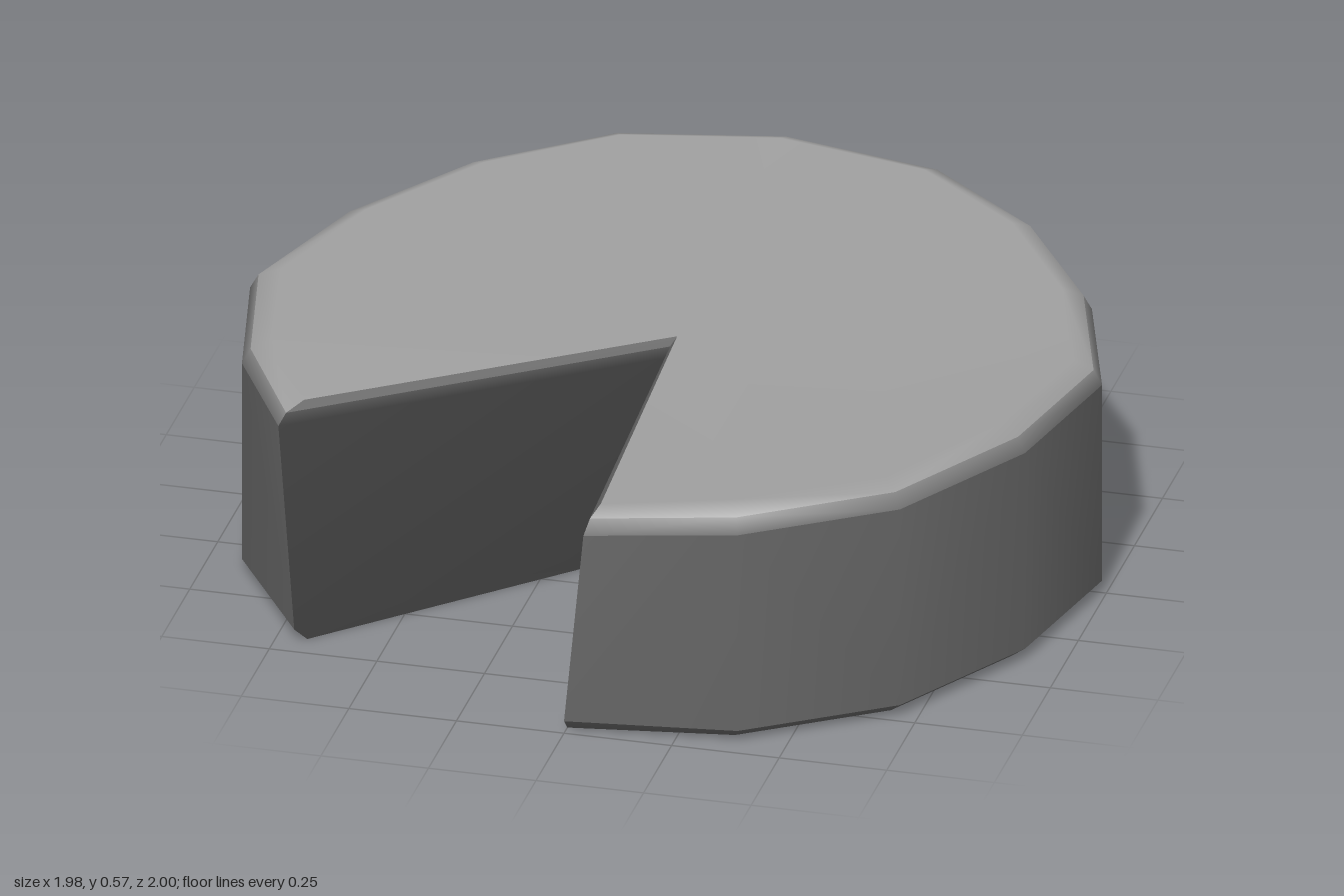
import * as THREE from 'three';

const TOP = 0x9f9f9f, RIND = 0x656565, RIM_EDGE = 0x828282, CUT = 0x424242, CUT_EDGE = 0x666666;

// Rim corners [x, z], from the right of the cut round the back to its left
const RIM = [
  [0.39, 0.95], [0.71, 0.73], [0.91, 0.38], [0.99, 0], [0.87, -0.37],
  [0.66, -0.69], [0.38, -0.92], [0, -1], [-0.38, -0.92], [-0.66, -0.69],
  [-0.87, -0.37], [-0.99, 0], [-0.91, 0.38],
];

// Levels from bottom to top: rim scale and height, then the cut's two outer
// ends and its inner apex as [x, y, z]
const LEVELS = [
  { s: 0.96, y: 0, right: [0, 0, 0.97], left: [-0.68, 0, 0.68], apex: [-0.005, 0, 0.01] },
  { s: 1, y: 0.03, right: [0, 0.03, 1], left: [-0.705, 0.03, 0.7], apex: [-0.005, 0.03, 0.01] },
  { s: 1, y: 0.52, right: [0.045, 0.5, 1], left: [-0.755, 0.51, 0.65], apex: [-0.015, 0.48, 0.035] },
  { s: 0.98, y: 0.555, right: [0.055, 0.535, 0.98], left: [-0.745, 0.53, 0.62], apex: [-0.01, 0.5, 0.015] },
  { s: 0.93, y: 0.575, right: [0.07, 0.555, 0.94], left: [-0.715, 0.545, 0.575], apex: [0, 0.515, -0.01] },
];

// Closed cross-sections, anticlockwise from above, each ending at the apex
const RINGS = LEVELS.map(({ s, y, right, left, apex }) =>
  [right, ...RIM.map(([x, z]) => [x * s, y, z * s]), left, apex]);
const N = RINGS[0].length;
const LEFT = N - 2, APEX = N - 1;
const at = (level, i) => level * N + (i % N);

// Wall between two levels, from corner i0 to corner i1, with mirrored diagonals
function wall(level0, level1, i0, i1) {
  const index = [];
  for (let k = level0; k < level1; k++) {
    for (let i = i0; i < i1; i++) {
      const a = at(k, i), b = at(k, i + 1), c = at(k + 1, i + 1), d = at(k + 1, i);
      index.push(...(i % 2 ? [a, b, d, b, c, d] : [a, b, c, a, c, d]));
    }
  }
  return index;
}

// Flat face fanning out from the apex
function fan(level, up) {
  const index = [];
  for (let i = 0; i < LEFT; i++) {
    const [a, b] = up ? [i, i + 1] : [i + 1, i];
    index.push(at(level, APEX), at(level, a), at(level, b));
  }
  return index;
}

// Meshes that share smooth normals; each part is [name, color, index]
function smoothParts(group, parts) {
  const shell = new THREE.BufferGeometry();
  shell.setAttribute('position', new THREE.Float32BufferAttribute(RINGS.flat(2), 3));
  shell.setIndex(parts.flatMap(([, , index]) => index));
  shell.computeVertexNormals();
  for (const [name, color, index] of parts) {
    const geometry = shell.clone().setIndex(index);
    const mesh = new THREE.Mesh(geometry, new THREE.MeshStandardMaterial({ color }));
    mesh.name = name;
    group.add(mesh);
  }
}

export function createModel() {
  const group = new THREE.Group();
  group.name = 'cutWheel';

  // Rind, rounded upper edge and top
  smoothParts(group, [
    ['rind', RIND, wall(1, 2, 0, LEFT)],
    ['upperEdge', RIM_EDGE, wall(2, 3, 0, LEFT)],
    ['top', TOP, [...wall(3, 4, 0, LEFT), ...fan(4, true)]],
  ]);

  // Underside with its small bevel
  smoothParts(group, [['underside', RIND, [...wall(0, 1, 0, LEFT), ...fan(0, false)]]]);

  // The two cut faces with their softened upper edges
  for (const [side, i] of [['left', LEFT], ['right', APEX]]) {
    smoothParts(group, [
      [side + 'CutFace', CUT, wall(0, 3, i, i + 1)],
      [side + 'CutEdge', CUT_EDGE, wall(3, 4, i, i + 1)],
    ]);
  }
  return group;
}
